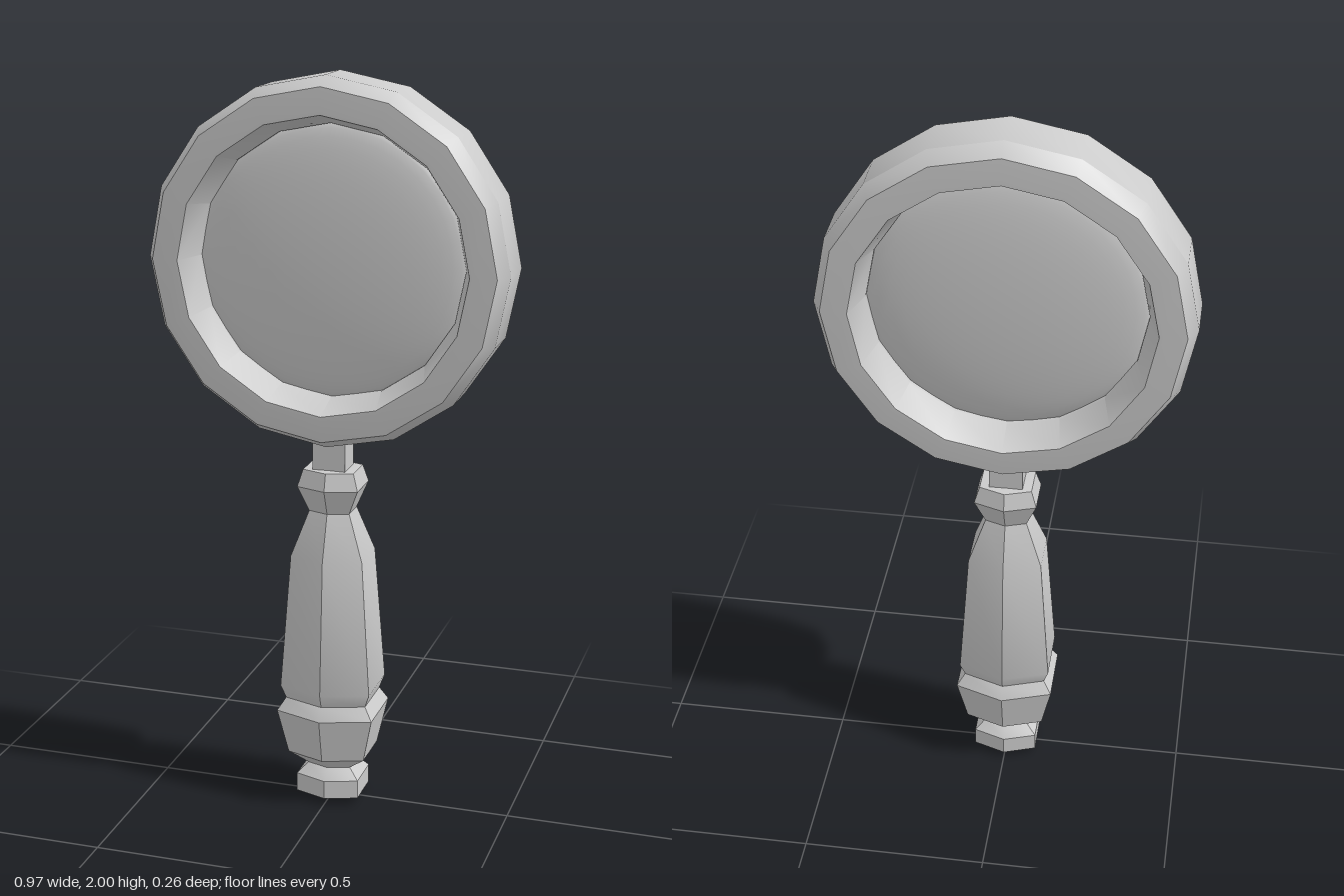
import * as THREE from 'three';
import { toCreasedNormals } from 'three/addons/utils/BufferGeometryUtils.js';

const material = new THREE.MeshStandardMaterial({ color: 0xcccccc });

function lathe(profile, sides) {
  return new THREE.LatheGeometry(profile.map(([r, y]) => new THREE.Vector2(r, y)), sides);
}

function part(name, geometry, crease) {
  const mesh = new THREE.Mesh(crease ? toCreasedNormals(geometry, crease) : geometry, material);
  mesh.name = name;
  return mesh;
}

export function createModel() {
  const group = new THREE.Group();
  group.name = 'magnifyingGlass';
  const centreY = 1.515;

  // Sixteen-sided frame: bevelled outside, bore tapering towards the lens
  const half = [[0.485, 0.063], [0.46, 0.108], [0.40, 0.112], [0.39, 0.112], [0.36, 0.02]];
  const mirrored = half.map(([r, z]) => [r, -z]);
  const ring = lathe([mirrored[0], ...half, ...mirrored.reverse()], 16);
  ring.rotateX(Math.PI / 2).translate(0, centreY, 0);
  group.add(part('frame', ring, 0.48));

  // Lens, bulging on both faces
  const lens = new THREE.SphereGeometry(1, 32, 20);
  lens.rotateX(Math.PI / 2).scale(0.365, 0.365, 0.05).translate(0, centreY, 0);
  group.add(part('lens', lens));

  // Square neck between handle and frame
  const neck = new THREE.BoxGeometry(0.09, 0.14, 0.08);
  neck.translate(0, 0.99, 0);
  group.add(part('neck', neck));

  // Turned handle with a six-sided section, an edge facing front and back
  const handle = lathe([
    [0, 0], [0.088, 0.018], [0.088, 0.07], [0.06, 0.1], [0.108, 0.14],
    [0.135, 0.267], [0.113, 0.303], [0.126, 0.34], [0.1, 0.715],
    [0.056, 0.84], [0.084, 0.91], [0.07, 0.957], [0, 0.96],
  ], 6);
  // Widen the sides so the front and back edges are blunter than a regular hexagon
  const p = handle.attributes.position;
  for (let i = 0; i < p.count; i++) {
    const x = p.getX(i), z = p.getZ(i);
    const onEdge = Math.abs(x) < 1e-4;
    p.setX(i, onEdge ? 0 : x / 0.866);
    p.setZ(i, z * (onEdge ? 0.97 : 1.26));
  }
  group.add(part('handle', handle, 0.6));

  return group;
}
